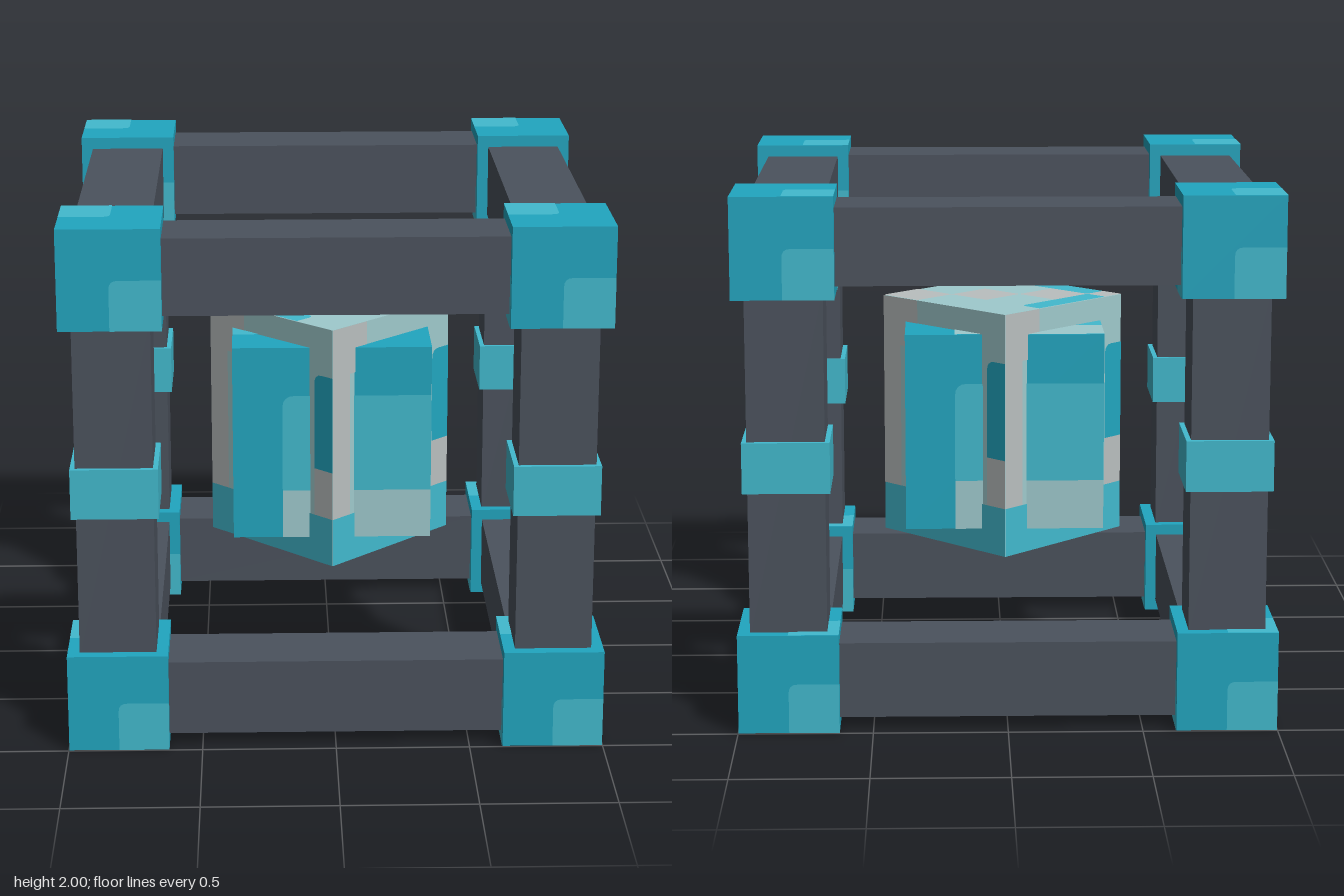
import * as THREE from 'three';

const mat = (name, color) => {
  const m = new THREE.MeshStandardMaterial({ color });
  m.name = name;
  return m;
};

export function createModel() {
  const teal = mat('teal', 0x21a6c0);
  const light = mat('light teal', 0x42bace);
  const pale = mat('pale aqua', 0x9fcacd);
  const stone = mat('warm grey', 0xbabfbf);
  const slate = mat('dark slate', 0x4b525d);

  const model = new THREE.Group();
  model.name = 'cubeFrame';

  const box = (parent, name, material, w, h, d, x = 0, y = 0, z = 0) => {
    const mesh = new THREE.Mesh(new THREE.BoxGeometry(w, h, d), material);
    mesh.name = name;
    mesh.position.set(x, y, z);
    parent.add(mesh);
    return mesh;
  };

  // One inlay on a face, in grid cells from the face's top left; r rounds its first corner
  const inlay = ([u0, v0, u1, v1, material, r = 0], cols, rows, cell, sx, sy) => {
    const P = (u, v) => [sx * (u - cols / 2) * cell, sy * (rows / 2 - v) * cell];
    const s = new THREE.Shape();
    s.moveTo(...P(u0 + r, v0));
    s.lineTo(...P(u1, v0));
    s.lineTo(...P(u1, v1));
    s.lineTo(...P(u0, v1));
    s.lineTo(...P(u0, v0 + r));
    if (r) s.quadraticCurveTo(...P(u0, v0), ...P(u0 + r, v0));
    const mesh = new THREE.Mesh(new THREE.ShapeGeometry(s, 4), material);
    mesh.name = 'inlay';
    return mesh;
  };

  // A square block with the same inlays on four sides, and inlays on top and bottom
  const block = (name, base, cols, rows, cell, side, cap) => {
    const g = new THREE.Group();
    g.name = name;
    const w = cols * cell, h = rows * cell;
    box(g, name + 'Body', base, w, h, w);
    const face = (list, n, sx, sy, rx, ry, dist) => {
      const f = new THREE.Group();
      f.name = name + 'Face';
      f.rotation.set(rx, ry, 0);
      for (const item of list) {
        const m = inlay(item, cols, n, cell, sx, sy);
        m.position.z = dist + 0.002;
        f.add(m);
      }
      g.add(f);
    };
    for (let i = 0; i < 4; i++) face(side, rows, 1, 1, 0, i * Math.PI / 2, w / 2);
    face(cap, cols, -1, -1, -Math.PI / 2, 0, h / 2);
    face(cap, cols, -1, 1, Math.PI / 2, 0, h / 2);
    return g;
  };

  // Frame bars and post bands
  const c = 0.81, t = 0.285, len = 1.3;
  for (const a of [-c, c]) {
    for (const b of [-c, c]) {
      box(model, 'crossBeam', slate, len, t, t, 0, 1 + a, b);
      box(model, 'sideBeam', slate, t, t, len, a, 1 + b, 0);
      box(model, 'post', slate, t, len, t, a, 1, b);
      box(model, 'postBand', light, 0.322, 0.19, 0.322, a, 1, b);
    }
  }

  // Corner blocks with a light square on every face
  const cornerInlay = [[2, 2, 4, 4, light, 0.35]];
  const k = 0.811;
  for (const x of [-k, k]) for (const y of [-k, k]) for (const z of [-k, k]) {
    const corner = block('cornerBlock', teal, 4, 4, 0.0935, cornerInlay, cornerInlay);
    corner.position.set(x, 1 + y, z);
    model.add(corner);
  }

  // Core: an upright cube
  const cubeInlay = [[2, 2, 8, 6, light, 0.5], [2, 6, 8, 8, pale]];
  const cube = block('coreCube', teal, 8, 8, 0.0955, cubeInlay, cubeInlay);
  cube.position.y = 1.003;
  model.add(cube);

  // Core: a taller prism turned by an eighth, passing through the cube
  const prismSide = [
    [0, 0, 2, 2, stone],
    [0, 2, 1, 8, stone],
    [6, 2, 7, 6, teal, 0.4],
    [6, 6, 7, 8, stone],
    [0, 8, 7, 10, light],
  ];
  const prismCap = [
    [0, 0, 2, 2, stone], [2, 2, 4, 4, stone], [4, 4, 6, 6, stone], [6, 6, 7, 7, stone],
    [2, 6, 6, 7, light, 0.3], [6, 2, 7, 6, light, 0.3],
  ];
  const prism = block('corePrism', pale, 7, 10, 0.0946, prismSide, prismCap);
  prism.position.y = 1.003;
  prism.rotation.y = Math.PI / 4;
  model.add(prism);

  return model;
}
